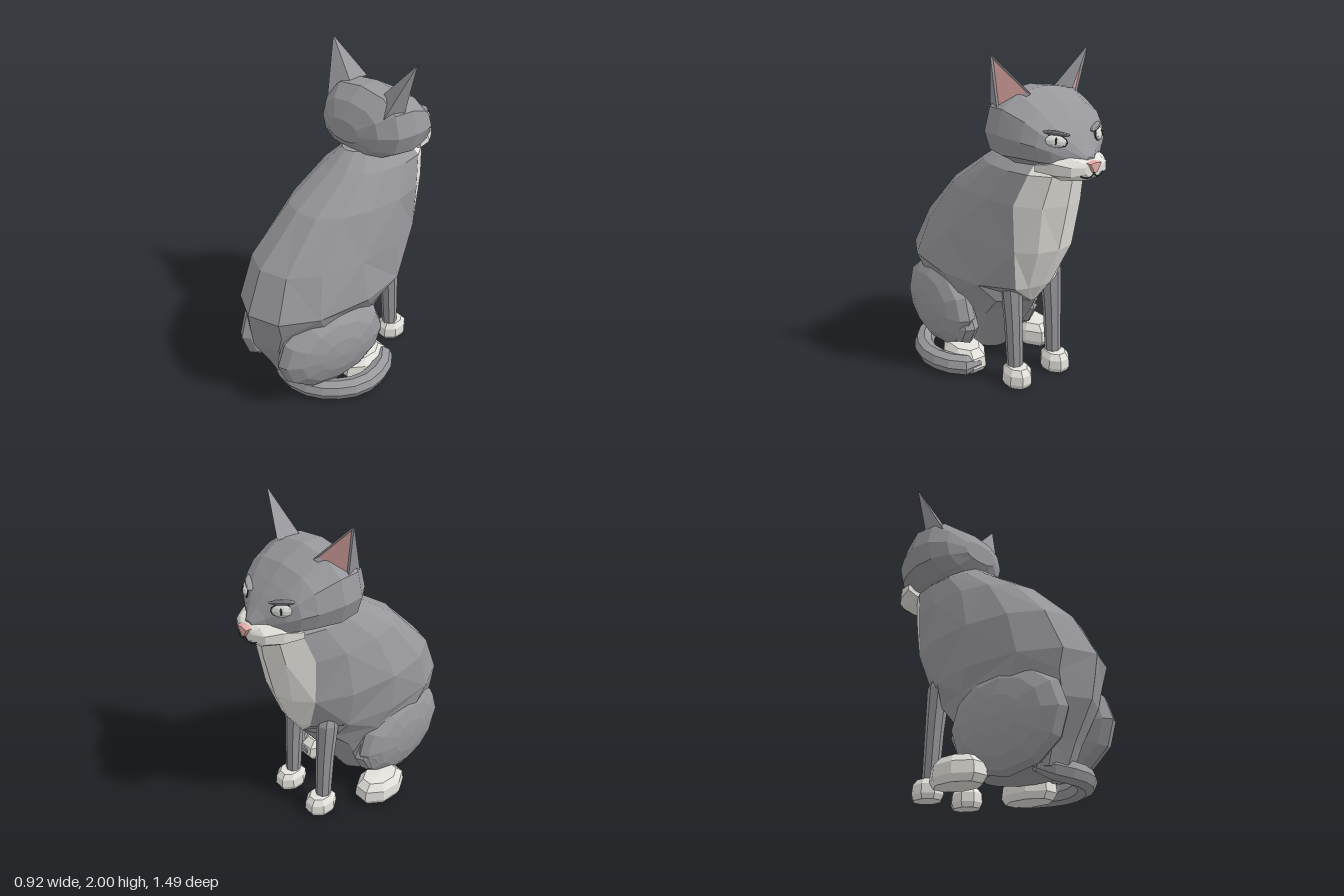
import * as THREE from 'three';

const mat = (name, color) => Object.assign(new THREE.MeshStandardMaterial({ color }), { name });
const V = (x, y, z) => new THREE.Vector3(x, y, z);

// Unindexed geometry gives crisp low-poly facets
function flat(geo) {
  const g = geo.index ? geo.toNonIndexed() : geo;
  g.computeVertexNormals();
  return g;
}

function fromTriangles(tris) {
  return flat(new THREE.BufferGeometry().setFromPoints(tris.flat()));
}

// Closed skin through rings of points; pick(i, j) sorts each strip cell into material 0 or 1
function loft(rings, pick = () => 0) {
  const sets = [[], []];
  const n = rings[0].length;
  for (let i = 0; i < rings.length - 1; i++) {
    for (let j = 0; j < n; j++) {
      const k = (j + 1) % n;
      const [a, b, c, d] = [rings[i][j], rings[i][k], rings[i + 1][k], rings[i + 1][j]];
      const tris = (i + j) % 2 ? [[a, d, c], [a, c, b]] : [[a, d, b], [d, c, b]];
      sets[pick(i, j, n)].push(...tris);
    }
  }
  const cap = (ring, flip) => {
    const mid = ring.reduce((s, p) => s.add(p), V(0, 0, 0)).divideScalar(n);
    ring.forEach((p, j) => {
      const q = ring[(j + 1) % n];
      sets[0].push(flip ? [mid, q, p] : [mid, p, q]);
    });
  };
  cap(rings[0], false);
  cap(rings[rings.length - 1], true);
  const geo = fromTriangles([...sets[0], ...sets[1]]);
  geo.addGroup(0, sets[0].length * 3, 0);
  if (sets[1].length) geo.addGroup(sets[0].length * 3, sets[1].length * 3, 1);
  return geo;
}

// Squares off a sine or cosine a little
const fuller = (v, power) => Math.sign(v) * Math.abs(v) ** power;

// Rings across z, listed from the face backwards: [z, halfWidth, bottom, middle, top]
const faceRings = (rows, n) => rows.map(([z, hw, bot, mid, top]) =>
  Array.from({ length: n }, (_, j) => {
    const t = (j / n) * Math.PI * 2, c = fuller(Math.cos(t), 0.8);
    return V(hw * fuller(Math.sin(t), 0.8), mid + c * (c > 0 ? top - mid : mid - bot), z);
  }));

export function createModel() {
  const grey = mat('grey fur', 0x98979c);
  const white = mat('white fur', 0xe4e2dc);
  const pink = mat('pink skin', 0xe2aca8);
  const dark = mat('dark lines', 0x2c2b2e);
  const iris = mat('pale eye', 0xd4d8d4);

  const model = new THREE.Group();
  const add = (parent, name, geo, material, x = 0, y = 0, z = 0) => {
    const m = new THREE.Mesh(geo, material);
    m.name = name;
    m.position.set(x, y, z);
    parent.add(m);
    return m;
  };

  // Body with white bib: [y, front z, back z, halfWidth, centre x, bib half angle]
  const bodyRows = [
    [0.07, -0.01, 0.54, 0.175, -0.04, 15],
    [0.2, -0.1, 0.6, 0.2, -0.04, 15],
    [0.4, -0.24, 0.71, 0.26, -0.03, 12],
    [0.53, -0.34, 0.73, 0.305, -0.02, 3],
    [0.65, -0.42, 0.745, 0.35, -0.01, 24],
    [0.9, -0.53, 0.62, 0.335, -0.04, 40],
    [1.18, -0.59, 0.34, 0.285, -0.04, 55],
    [1.36, -0.615, 0.07, 0.225, -0.05, 58],
    [1.45, -0.56, -0.05, 0.12, -0.06, 58],
  ];
  const bodyRings = bodyRows.map(([y, zf, zb, hw, cx, deg]) => {
    const b = THREE.MathUtils.degToRad(deg);
    const half = [b / 2, b, ...[1, 2, 3, 4].map((k) => b + ((Math.PI - b) * k) / 5)];
    const angles = [0, ...half, Math.PI, ...half.map((t) => -t).reverse()];
    return angles.map((t) => V(
      cx + hw * fuller(Math.sin(t), 0.9), y,
      (zf + zb) / 2 - ((zb - zf) / 2) * fuller(Math.cos(t), 0.9)));
  });
  const bib = (i, j, n) => (i >= 3 && (j < 2 || j >= n - 2) ? 1 : 0);
  add(model, 'body', loft(bodyRings, bib), [grey, white]);

  // Haunches with the knee pushed forward
  for (const [name, x, y, rx, ry, turn] of [
    ['leftHaunch', 0.22, 0.35, 0.14, 0.28, -0.1],
    ['rightHaunch', -0.24, 0.325, 0.12, 0.3, 0.1],
  ]) {
    const geo = new THREE.SphereGeometry(1, 12, 8);
    geo.rotateZ(Math.PI / 2).scale(rx, ry, 0.38).rotateY(turn);
    add(model, name, flat(geo), grey, x, y, 0.31);
    const knee = new THREE.SphereGeometry(1, 8, 6);
    knee.rotateZ(Math.PI / 2).scale(0.1, 0.16, 0.2);
    add(model, name + 'Knee', flat(knee), grey, x + Math.sign(x) * 0.01, 0.29, 0.115);
  }

  // Paws share one rounded eight-sided profile
  const pawProfile = [[0, 0], [0.85, 0], [1, 0.25], [0.95, 0.68], [0.68, 0.95], [0, 1]]
    .map(([x, y]) => new THREE.Vector2(x, y));
  const paw = (rx, h, rz) =>
    flat(new THREE.LatheGeometry(pawProfile, 8).rotateY(Math.PI / 8).scale(rx, h, rz));

  for (const [side, x, hindX] of [['left', 0.1, 0.22], ['right', -0.21, -0.345]]) {
    // Front leg, leaning slightly forward at the foot
    const leg = [[0.08, -0.32, 0.05], [0.4, -0.3, 0.058], [0.66, -0.275, 0.07], [0.76, -0.26, 0.03]]
      .map(([y, z, r]) => Array.from({ length: 8 }, (_, j) => {
        const t = (j / 8) * Math.PI * 2;
        return V(x + r * Math.sin(t) * 0.95, y, z - r * Math.cos(t));
      }));
    add(model, side + 'FrontLeg', loft(leg), grey);
    add(model, side + 'FrontPaw', paw(0.09, 0.125, 0.108), white, x, 0, -0.34);
    add(model, side + 'HindPaw', paw(0.125, 0.155, 0.185), white, hindX, 0, 0.05);
  }

  // Tail curled round the left side, tapered at both ends
  const tailPath = new THREE.CatmullRomCurve3([
    V(-0.16, 0.09, 0.42), V(-0.03, 0.07, 0.49), V(0.14, 0.066, 0.49), V(0.29, 0.065, 0.4),
    V(0.395, 0.065, 0.22), V(0.37, 0.065, 0.03), V(0.28, 0.065, -0.08), V(0.2, 0.065, -0.1),
  ]);
  const steps = 12;
  const tailRings = Array.from({ length: steps + 1 }, (_, i) => {
    const u = i / steps, p = tailPath.getPointAt(u), d = tailPath.getTangentAt(u);
    const r = i === steps ? 0.025 : i === 0 ? 0.04 : 0.065;
    const out = V(d.z, 0, -d.x).normalize();
    return Array.from({ length: 8 }, (_, j) => {
      const t = (-j / 8) * Math.PI * 2;
      return p.clone().addScaledVector(out, r * Math.cos(t)).add(V(0, r * Math.sin(t), 0));
    });
  });
  add(model, 'tail', loft(tailRings), grey);

  // Head, set a little to one side
  const head = new THREE.Group();
  head.name = 'head';
  head.position.x = -0.09;
  model.add(head);
  add(head, 'skull', loft(faceRings([
    [-0.7, 0.03, 1.42, 1.44, 1.475],
    [-0.65, 0.095, 1.4, 1.46, 1.53],
    [-0.595, 0.195, 1.39, 1.51, 1.6],
    [-0.545, 0.255, 1.385, 1.535, 1.655],
    [-0.47, 0.297, 1.385, 1.55, 1.73],
    [-0.33, 0.342, 1.37, 1.57, 1.805],
    [-0.2, 0.325, 1.385, 1.57, 1.8],
    [-0.11, 0.245, 1.425, 1.57, 1.725],
    [-0.055, 0.13, 1.5, 1.56, 1.63],
  ], 12)), grey);
  add(head, 'muzzle', loft(faceRings([
    [-0.725, 0.06, 1.37, 1.41, 1.45],
    [-0.69, 0.135, 1.345, 1.405, 1.47],
    [-0.61, 0.19, 1.335, 1.41, 1.495],
    [-0.5, 0.225, 1.36, 1.405, 1.45],
  ], 10)), white);

  // Nose: a small wedge, wide at the top and narrower in front
  const nose = [[-0.743, 0.8], [-0.7, 1]].map(([z, k]) =>
    [[0, 0.03], [0.05, 0.022], [0.012, -0.038], [-0.012, -0.038], [-0.05, 0.022]]
      .map(([x, y]) => V(x * k, 1.43 + y * k, z)));
  add(head, 'nose', loft(nose), pink);

  for (const s of [1, -1]) {
    const side = s > 0 ? 'left' : 'right';
    // Ear: four-sided spike whose outer side is a shallow cup with a pink floor
    const P = (x, y, z) => V(s * x, y, z);
    const wind = (a, b, c) => (s > 0 ? [a, b, c] : [a, c, b]);
    const tip = P(0.355, 2, -0.29);
    const base = [P(0.15, 1.78, -0.385), P(0.285, 1.665, -0.265), P(0.235, 1.65, -0.135), P(0.145, 1.78, -0.24)];
    const rim = [base[0], tip, base[1]];
    const opening = new THREE.Triangle(...wind(...rim));
    const mid = opening.getMidpoint(V(0, 0, 0)), normal = opening.getNormal(V(0, 0, 0));
    const floor = rim.map((p) => p.clone().lerp(mid, 0.2).addScaledVector(normal, -0.012));
    const shell = [1, 2, 3].map((j) => wind(base[j], tip, base[(j + 1) % 4]));
    rim.forEach((p, j) => {
      const k = (j + 1) % 3;
      shell.push(wind(p, rim[k], floor[k]), wind(p, floor[k], floor[j]));
    });
    add(head, side + 'Ear', fromTriangles(shell), grey);
    add(head, side + 'InnerEar', fromTriangles([wind(...floor)]), pink);

    // Eye: thin dark rim, pale iris, slit pupil and a grey brow, slanting up outwards
    const eye = new THREE.Group();
    eye.name = side + 'Eye';
    eye.position.set(s * 0.157, 1.56, -0.592);
    eye.lookAt(s * 0.657, 1.81, -1.392);
    eye.rotateZ(-s * 0.15);
    head.add(eye);
    const ball = (rx, ry, rz) => flat(new THREE.SphereGeometry(1, 10, 6).scale(rx, ry, rz));
    add(eye, 'eyeRim', ball(0.069, 0.038, 0.012), dark);
    add(eye, 'iris', ball(0.064, 0.034, 0.026), iris);
    add(eye, 'pupil', ball(0.006, 0.02, 0.005), dark, 0, 0, 0.024);
    add(eye, 'brow', ball(0.078, 0.014, 0.026), grey, 0, 0.042, -0.004);

    // Mouth line curling up from under the nose
    const lip = new THREE.CatmullRomCurve3([
      V(0, 1.4, -0.73), V(s * 0.012, 1.378, -0.728), V(s * 0.05, 1.37, -0.722), V(s * 0.085, 1.385, -0.712),
    ]);
    add(head, side + 'MouthLine', flat(new THREE.TubeGeometry(lip, 6, 0.004, 4)), dark);
  }

  return model;
}
